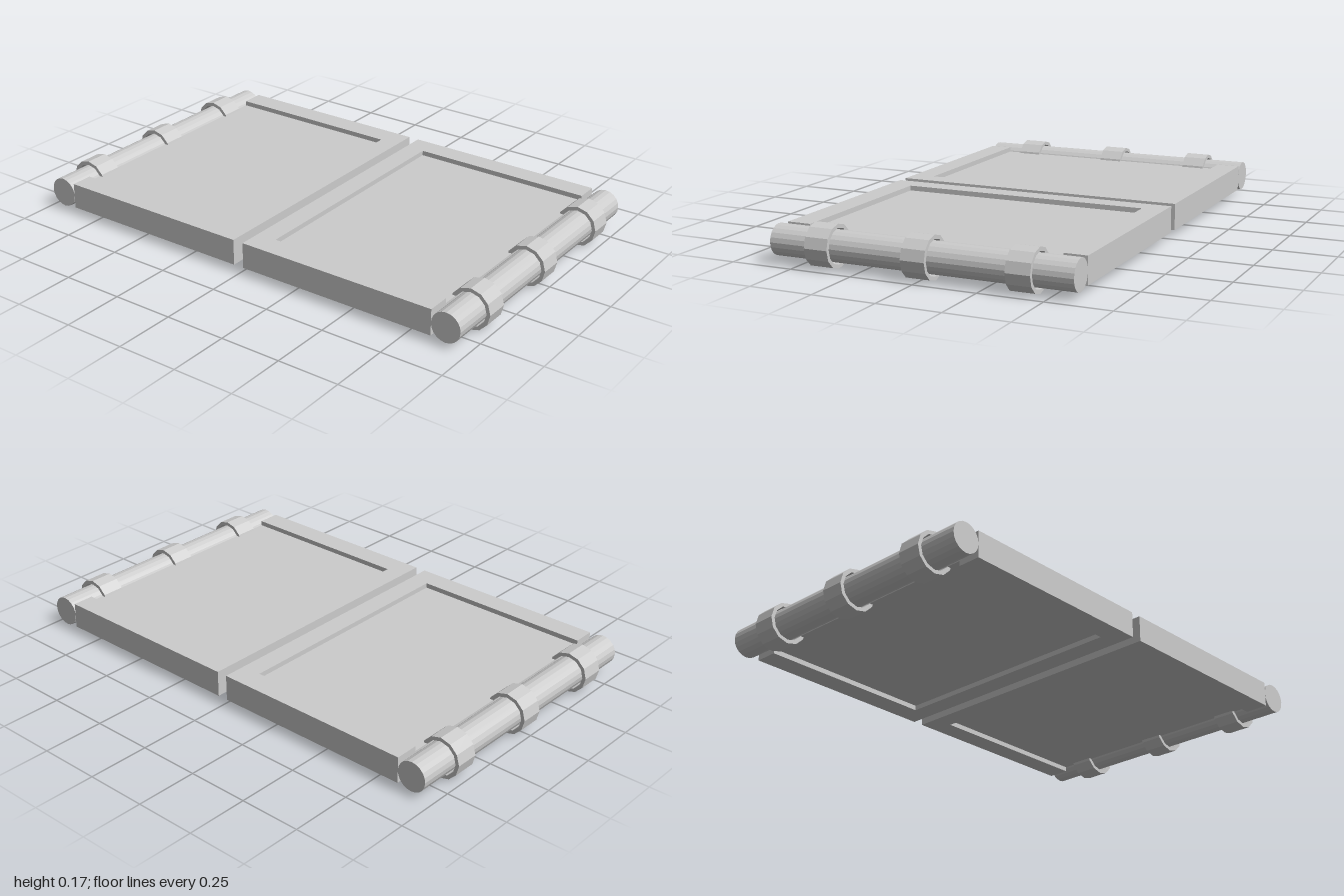
import * as THREE from 'three';

const material = new THREE.MeshStandardMaterial({ color: 0xcccccc, flatShading: true });
const AXIS_Y = 0.0865, AXIS_Z = 0.917;

function add(group, name, geometry, x, y, z) {
  const mesh = new THREE.Mesh(geometry, material);
  mesh.name = name;
  mesh.position.set(x, y, z);
  group.add(mesh);
  return mesh;
}

// Hollow band around the rod, running along x
function ringGeometry(outer, inner, width) {
  const w = width / 2;
  const profile = [[inner, -w], [outer, -w], [outer, w], [inner, w], [inner, -w]]
    .map(([r, y]) => new THREE.Vector2(r, y));
  return new THREE.LatheGeometry(profile, 12).rotateZ(Math.PI / 2);
}

function createLeaf() {
  const leaf = new THREE.Group();

  // U-shaped frame, open towards the rod
  const outline = [[-0.6, 0.022], [0.6, 0.022], [0.6, 0.857], [0.51, 0.857],
    [0.51, 0.105], [-0.505, 0.105], [-0.505, 0.857], [-0.6, 0.857]];
  const shape = new THREE.Shape(outline.map(([x, z]) => new THREE.Vector2(x, z)));
  const frame = new THREE.ExtrudeGeometry(shape, { depth: 0.105, bevelEnabled: false });
  frame.rotateX(Math.PI / 2);
  add(leaf, 'frame', frame, 0, 0.14, 0);

  // Recessed panel, set back from both faces of the frame
  add(leaf, 'panel', new THREE.BoxGeometry(1.015, 0.065, 0.752), 0.0025, 0.0875, 0.481);

  // Rod along the outer edge
  const rod = new THREE.CylinderGeometry(0.06, 0.06, 1.2, 20).rotateZ(Math.PI / 2);
  add(leaf, 'rod', rod, 0, AXIS_Y + 0.001, AXIS_Z);

  // Three rings holding the rod
  for (const x of [-0.393, 0, 0.403]) {
    add(leaf, 'ring', ringGeometry(0.083, 0.068, 0.095), x, AXIS_Y, AXIS_Z);
  }
  return leaf;
}

export function createModel() {
  const model = new THREE.Group();
  model.name = 'hingedPanels';
  const front = createLeaf();
  front.name = 'frontLeaf';
  const back = createLeaf();
  back.name = 'backLeaf';
  back.rotation.y = Math.PI;
  model.add(front, back);
  return model;
}
